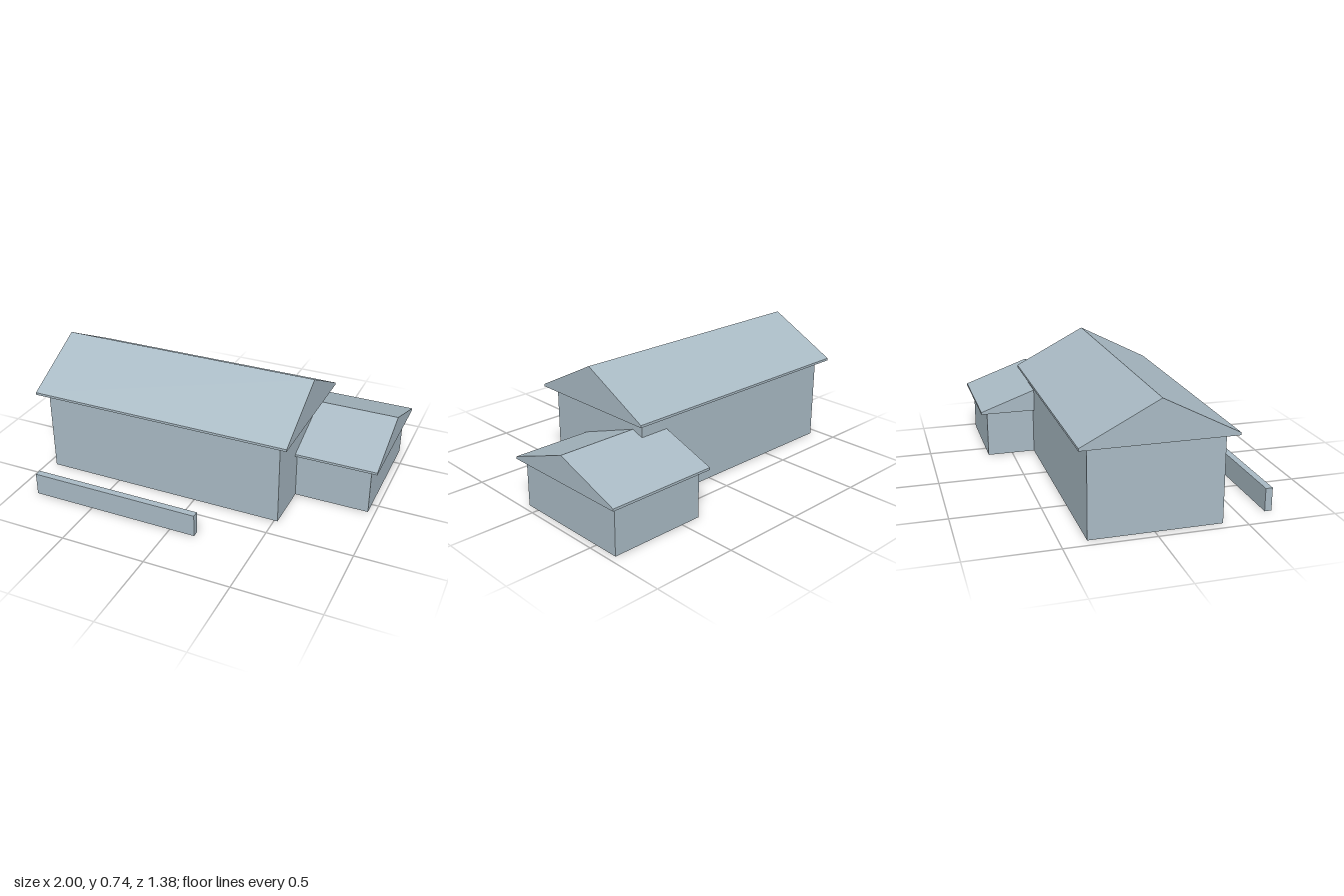
import * as THREE from 'three';

const paint = new THREE.MeshStandardMaterial({ color: 0xa9bac4 });
paint.name = 'pale blue grey';

// Box given by its extents on each axis
function block(name, [x0, x1], [y0, y1], [z0, z1]) {
  const mesh = new THREE.Mesh(new THREE.BoxGeometry(x1 - x0, y1 - y0, z1 - z0), paint);
  mesh.position.set((x0 + x1) / 2, (y0 + y1) / 2, (z0 + z1) / 2);
  mesh.name = name;
  return mesh;
}

// Gable roof with a thin vertical fascia, ridge running along x
function gableRoof(name, [x0, x1], [z0, z1], eave, fascia, ridge) {
  const mid = (z0 + z1) / 2;
  // Shape is drawn in (-z, y), then turned so its depth runs along +x
  const profile = new THREE.Shape([
    new THREE.Vector2(-z1, eave),
    new THREE.Vector2(-z0, eave),
    new THREE.Vector2(-z0, fascia),
    new THREE.Vector2(-mid, ridge),
    new THREE.Vector2(-z1, fascia),
  ]);
  const geometry = new THREE.ExtrudeGeometry(profile, { depth: x1 - x0, bevelEnabled: false });
  geometry.rotateY(Math.PI / 2);
  geometry.translate(x0, 0, 0);
  const mesh = new THREE.Mesh(geometry, paint);
  mesh.name = name;
  return mesh;
}

export function createModel() {
  const model = new THREE.Group();
  model.name = 'house';

  // Main house
  model.add(block('mainWalls', [-0.945, 0.52], [0, 0.503], [-0.36, 0.376]));
  model.add(gableRoof('mainRoof', [-1, 0.575], [-0.415, 0.43], 0.503, 0.517, 0.735));

  // Lower side wing, set back and running into the main house
  model.add(block('wingWalls', [0.38, 0.96], [0, 0.282], [-0.65, 0.081]));
  model.add(gableRoof('wingRoof', [0.34, 1], [-0.69, 0.117], 0.282, 0.296, 0.44));

  // Free-standing garden wall in front
  model.add(block('gardenWall', [-0.87, 0.15], [0, 0.133], [0.65, 0.69]));

  return model;
}
